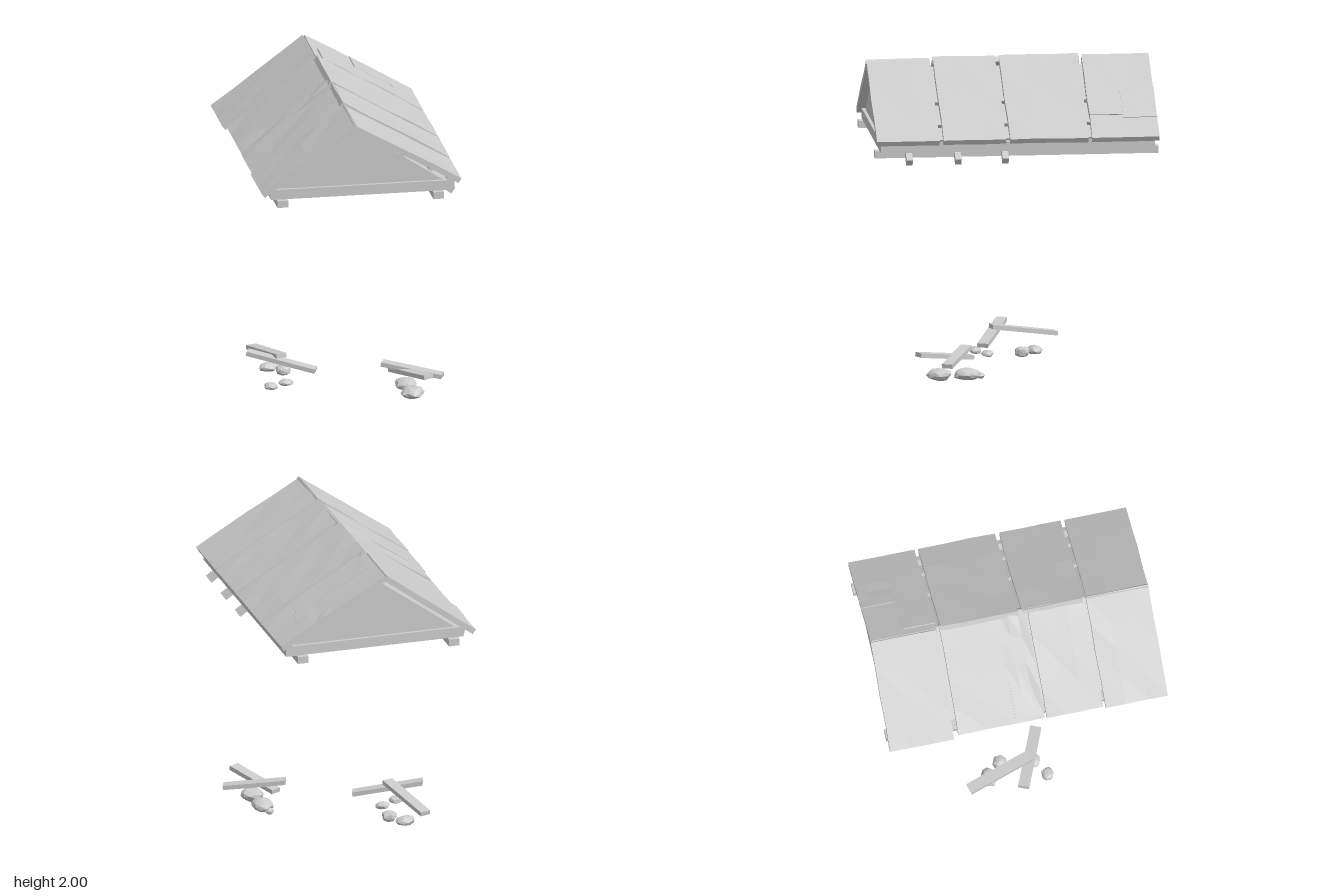
import * as THREE from 'three';

const mat = new THREE.MeshStandardMaterial({ color: 0xcccccc, flatShading: true });

function seeded(seed) {
  let s = seed * 7919 + 17;
  return () => (s = (s * 16807) % 2147483647) / 2147483647;
}

export function createModel() {
  const root = new THREE.Group();
  const add = (name, geo, parent = root) => {
    const m = new THREE.Mesh(geo, mat);
    m.name = name;
    parent.add(m);
    return m;
  };
  const box = (name, w, h, d, x, y, z, parent) => {
    const m = add(name, new THREE.BoxGeometry(w, h, d), parent);
    m.position.set(x, y, z);
    return m;
  };
  // polygon in the front plane, swept between two depths
  const prism = (name, pts, z0, z1, parent) => {
    const shape = new THREE.Shape(pts.map(p => new THREE.Vector2(...p)));
    const m = add(name, new THREE.ExtrudeGeometry(shape, { depth: z1 - z0, bevelEnabled: false }), parent);
    m.position.z = z0;
    return m;
  };

  // sloping slab whose top runs from point a to point b (a is the left-hand one), with warped edges
  const slab = (name, a, b, z0, z1, thick, seed, parent, wobble = 0.006) => {
    const geo = new THREE.BoxGeometry(1, 1, 1, 4, 1, 3);
    const p = geo.attributes.position, rnd = seeded(seed);
    const len = Math.hypot(b[0] - a[0], b[1] - a[1]);
    const nx = -(b[1] - a[1]) / len, ny = (b[0] - a[0]) / len;
    const warp = {};
    for (let i = 0; i < p.count; i++) {
      const u = p.getX(i) + 0.5, v = p.getZ(i) + 0.5;
      const key = u.toFixed(2) + v.toFixed(2);
      if (!warp[key]) warp[key] = [rnd(), rnd()];
      const [r, q] = warp[key];
      const t = (p.getY(i) - 0.5) * thick - r * wobble;
      const inward = (v < 0.01 ? 1 : v > 0.99 ? -1 : 0) * q * wobble;
      p.setXYZ(i, a[0] + (b[0] - a[0]) * u + nx * t, a[1] + (b[1] - a[1]) * u + ny * t,
        z0 + (z1 - z0) * v + inward);
    }
    geo.computeVertexNormals();
    return add(name, geo, parent);
  };

  // loft floor, side beams and the gabled loft
  prism('loftFloor', [[-0.575, 1.505], [0.6, 1.505], [0.6, 1.57], [-0.59, 1.57]], -0.87, 0.87);
  for (const x of [-0.505, 0.495]) box('sideBeam', 0.07, 0.045, 1.8, x, 1.482, 0);
  prism('gableLoft', [[-0.53, 1.565], [0.54, 1.565], [-0.02, 1.935]], -0.85, 0.85);

  // rafter tails poking out below one eave
  for (const z of [0.69, 0.38, 0.08]) {
    const tail = box('rafterTail', 0.26, 0.045, 0.04, 0.515, 1.517, z);
    tail.rotation.z = -0.6;
  }

  // purlins under the damaged slope
  for (const x of [0.27, 0.45, 0.57]) {
    const purlin = box('purlin', 0.03, 0.025, 1.74, x, 1.925 - x * 0.605, 0);
    purlin.rotation.z = -0.55;
  }

  // roof panels
  const roof = new THREE.Group();
  roof.name = 'roof';
  root.add(roof);
  const eave = [0.643, 1.59];
  [[0.495, 0.9, 1.987], [0.075, 0.475, 1.997], [-0.45, 0.055, 2.0], [-0.9, -0.467, 1.99]].forEach(([z0, z1, y], i) => {
    slab('leftRoofPanel', [-0.045, y], eave, z0, z1, 0.036, 11 + i, roof);
  });
  [[0.492, 0.9, -0.643, 1.56, -0.04], [0.115, 0.484, -0.635, 1.565, -0.035],
    [-0.455, 0.11, -0.63, 1.562, -0.035], [-0.9, -0.48, -0.65, 1.555, -0.06]].forEach(([z0, z1, x, y, rx], i) => {
    slab('rightRoofPanel', [x, y], [rx, 1.99], z0, z1, 0.036, 31 + i, roof);
  });

  // repair boards laid over the panels
  const onLeft = x => [x, 1.997 - (x + 0.045) * 0.587];
  slab('patchBoard', onLeft(0.24), onLeft(0.485), -0.9, -0.68, 0.02, 51, roof, 0.004);
  slab('upperBoard', onLeft(0.0), onLeft(0.46), -0.68, -0.468, 0.016, 52, roof, 0.004);
  slab('crackedBoard', [-0.61, 1.584], [-0.045, 1.993], -0.08, 0.115, 0.016, 53, roof, 0.014);

  // fallen planks, each given by its two end points
  const plank = (a, b, width) => {
    const A = new THREE.Vector3(...a), B = new THREE.Vector3(...b);
    const m = box('fallenPlank', width, 0.028, A.distanceTo(B), 0, 0, 0);
    m.position.copy(A).add(B).multiplyScalar(0.5);
    m.lookAt(B);
  };
  plank([-0.57, 0.195, -0.02], [-0.16, 0.105, 0.145], 0.07);
  plank([-0.365, 0.188, 0.07], [-0.485, 0.116, -0.355], 0.07);
  plank([0.24, 0.178, 0.29], [0.6, 0.125, 0.45], 0.07);
  plank([0.31, 0.128, 0.265], [0.48, 0.18, 0.62], 0.07);

  // faceted rubble: centre x, z, then width, height, depth
  [[0.4, 0.48, 0.15, 0.085, 0.16], [0.39, 0.3, 0.14, 0.085, 0.18], [-0.45, 0.16, 0.09, 0.05, 0.08],
    [-0.34, 0.095, 0.1, 0.045, 0.08], [-0.32, -0.12, 0.1, 0.075, 0.1],
    [-0.4, -0.21, 0.13, 0.06, 0.1], [0.37, 0.215, 0.06, 0.045, 0.06]].forEach(([x, z, w, h, d], i) => {
    const geo = new THREE.IcosahedronGeometry(0.5, 1);
    const p = geo.attributes.position, rnd = seeded(70 + i), bump = {};
    for (let k = 0; k < p.count; k++) {
      const key = [p.getX(k), p.getY(k), p.getZ(k)].map(c => Math.round(c * 100)).join();
      const s = bump[key] ??= 0.85 + rnd() * 0.25;
      p.setXYZ(k, p.getX(k) * s * w, Math.max(p.getY(k) * s, -0.4) * h, p.getZ(k) * s * d);
    }
    geo.computeVertexNormals();
    const rock = add('rubbleStone', geo);
    rock.position.set(x, 0.4 * h, z);
  });

  return root;
}
